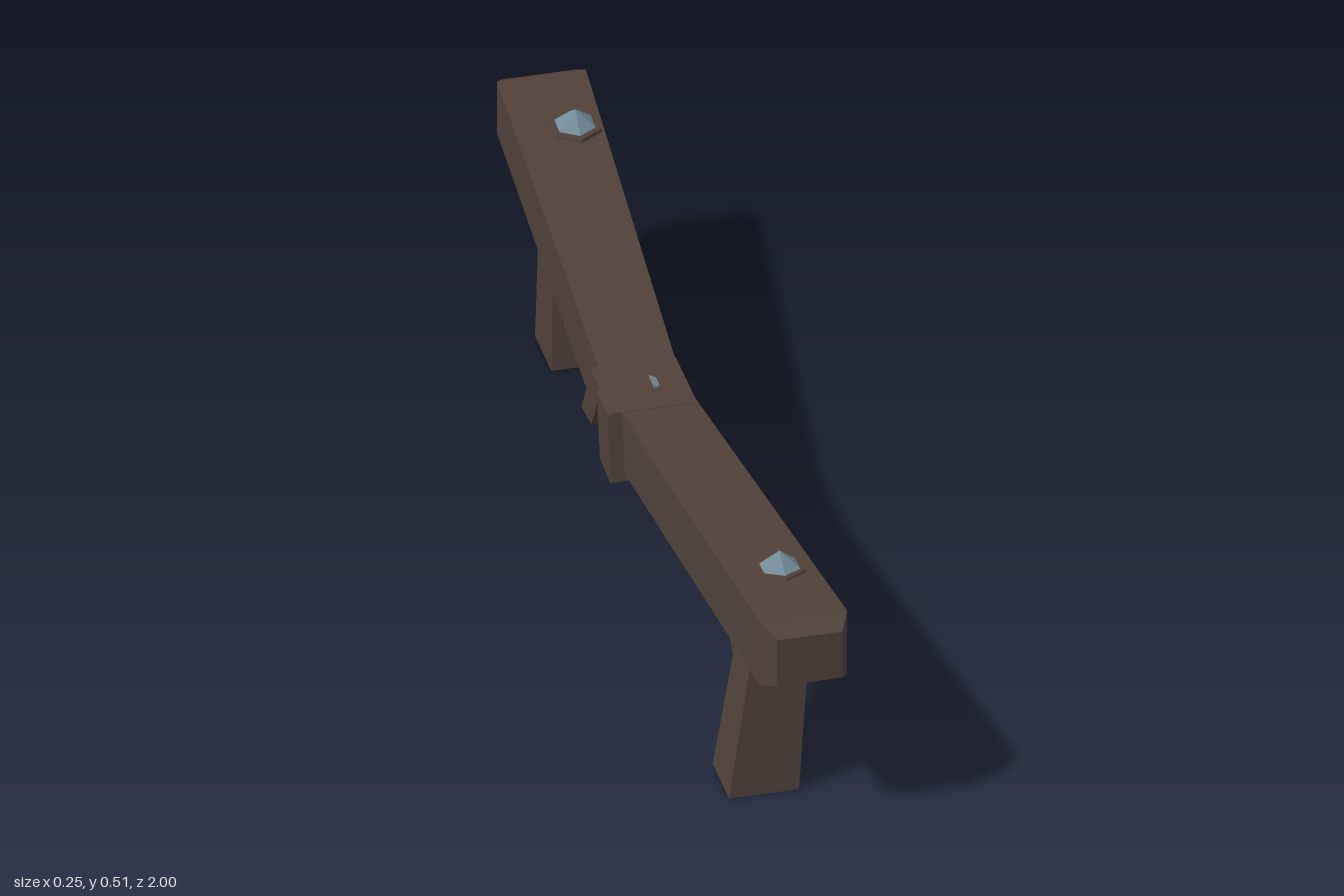
import * as THREE from 'three';
import { ConvexGeometry } from 'three/addons/geometries/ConvexGeometry.js';

export function createModel() {
  const model = new THREE.Group();
  model.name = 'bentBeamBarrier';

  const wood = new THREE.MeshStandardMaterial({ color: 0x50413a });
  wood.name = 'dark wood';
  const steel = new THREE.MeshStandardMaterial({ color: 0x748b99 });
  steel.name = 'blue steel';

  const add = (name, geometry, material, parent = model) => {
    const mesh = new THREE.Mesh(geometry, material);
    mesh.name = name;
    parent.add(mesh);
    return mesh;
  };

  // Faceted solid through rectangular sections across z: [z, x0, x1, y0, y1]
  const sectionsZ = (list) => new ConvexGeometry(list.flatMap(([z, x0, x1, y0, y1]) =>
    [[x0, y0], [x1, y0], [x1, y1], [x0, y1]].map(([x, y]) => new THREE.Vector3(x, y, z))));

  // Faceted solid through rectangular sections across y: [y, x0, x1, z0, z1]
  const sectionsY = (list) => new ConvexGeometry(list.flatMap(([y, x0, x1, z0, z1]) =>
    [[x0, z0], [x1, z0], [x1, z1], [x0, z1]].map(([x, z]) => new THREE.Vector3(x, y, z))));

  // Side profile of [z, y] corners, given thickness from x0 to x1
  const prism = (profile, x0, x1) => new ConvexGeometry(profile.flatMap(([z, y]) =>
    [new THREE.Vector3(x0, y, z), new THREE.Vector3(x1, y, z)]));

  // Beam: two halves that meet at a bend, with chamfered ends
  const bend = [0, -0.1, 0.045, 0.28, 0.405];
  add('frontBeam', sectionsZ([
    [1, -0.02, 0.105, 0.35, 0.452], [0.965, -0.045, 0.123, 0.334, 0.474], bend]), wood);
  add('backBeam', sectionsZ([
    [-1, -0.05, 0.093, 0.385, 0.465], [-0.972, -0.067, 0.105, 0.367, 0.48], bend]), wood);

  // Tapered legs
  add('frontLeg', sectionsY([
    [0, -0.07, 0.065, 0.7, 0.825], [0.37, -0.015, 0.09, 0.717, 0.817]]), wood);
  add('backLeg', sectionsY([
    [0, -0.03, 0.105, -0.825, -0.7], [0.39, -0.02, 0.086, -0.822, -0.718]]), wood);

  // Diagonal braces
  add('frontBrace', prism([[0.71, 0.08], [0.72, 0.145], [0.54, 0.335], [0.465, 0.335]], -0.01, 0.07), wood);
  add('backBrace', prism([[-0.705, 0.1], [-0.72, 0.175], [-0.615, 0.35], [-0.545, 0.35]], -0.01, 0.073), wood);

  // Straps wrapped around the bend
  add('topStrap', prism([[0.1, 0.36], [0.1, 0.413], [-0.06, 0.413], [-0.06, 0.39]], -0.115, 0.05), wood);
  add('frontStrap', prism([[0.1, 0.41], [0.015, 0.413], [0.04, 0.277], [0.12, 0.273]], -0.122, 0.051), wood);
  add('backStrap', prism([[0.0, 0.405], [-0.07, 0.41], [-0.15, 0.273], [-0.075, 0.28]], -0.11, 0.05), wood);

  // Studs on top of the beam: a hexagonal washer under a pointed cap
  for (const [name, y, z, tilt] of [['frontStud', 0.459, 0.77, -0.07], ['backStud', 0.468, -0.805, 0.075]]) {
    const stud = new THREE.Group();
    stud.name = name;
    stud.position.set(0.042, y, z);
    stud.rotation.x = tilt;
    add('washer', new THREE.CylinderGeometry(0.052, 0.056, 0.012, 6).toNonIndexed(), wood, stud)
      .geometry.computeVertexNormals();
    const cap = new THREE.ConeGeometry(0.044, 0.036, 6).toNonIndexed();
    cap.computeVertexNormals();
    add('cap', cap, steel, stud).position.y = 0.021;
    model.add(stud);
  }

  // Small stud mostly sunk into the upper corner of the straps
  const sunk = new THREE.ConeGeometry(0.036, 0.075, 6).toNonIndexed();
  sunk.computeVertexNormals();
  const strapStud = add('strapStud', sunk, steel);
  strapStud.position.set(0.022, 0.387, 0.012);
  strapStud.rotation.z = -Math.PI / 2;

  return model;
}
